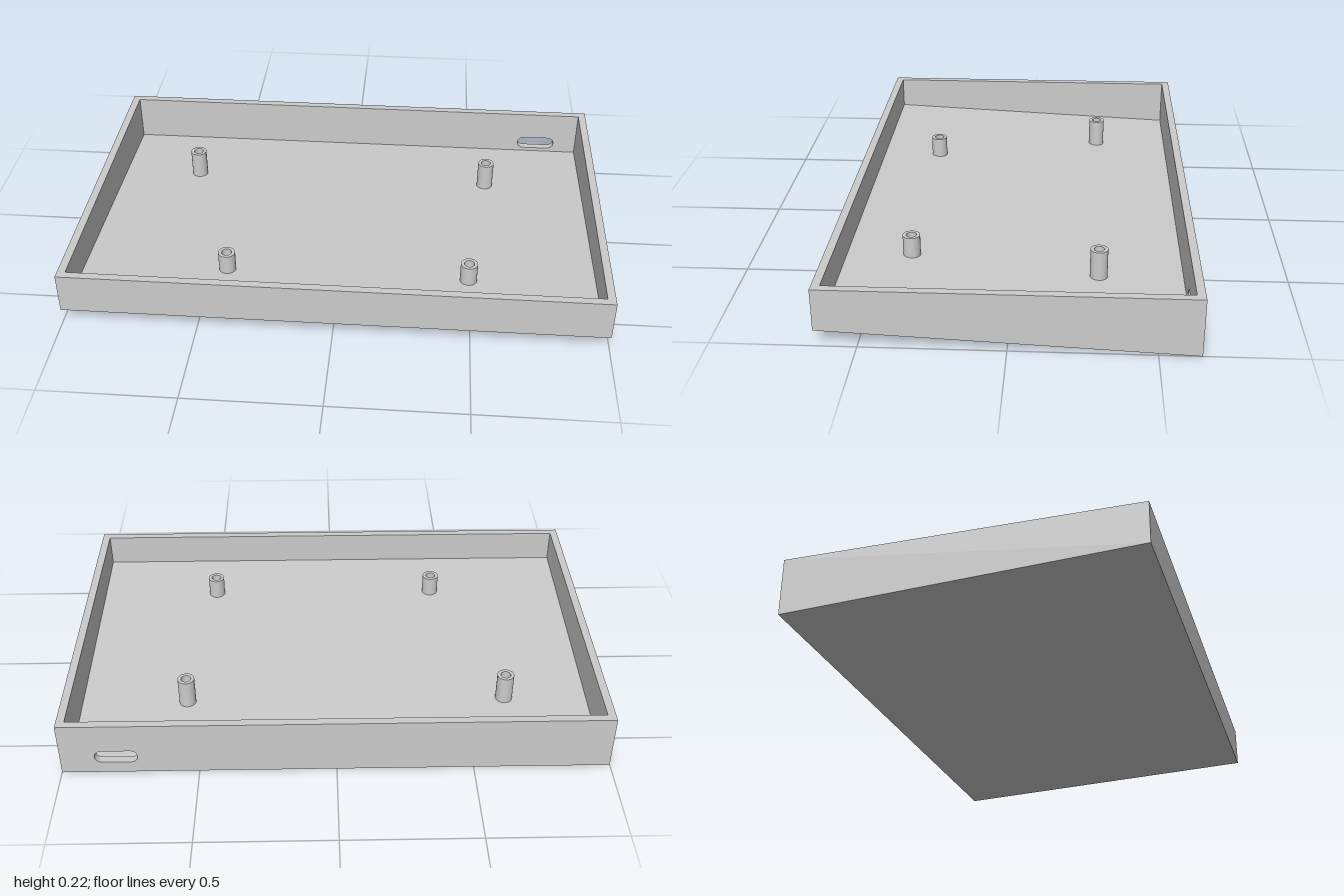
import * as THREE from 'three';

const W = 1, D = 0.645, TOP = 0.215, FRONT_RISE = 0.06, WALL = 0.03, FLOOR = 0.03;

// Height of the sloped underside at depth z
const under = (z) => FRONT_RISE * (z + D) / (2 * D);

export function createModel() {
  const group = new THREE.Group();
  const material = new THREE.MeshStandardMaterial({ color: 0xcccccc });

  const add = (name, geometry) => {
    const mesh = new THREE.Mesh(geometry, material);
    mesh.name = name;
    group.add(mesh);
    return mesh;
  };

  // Prism along x whose bottom follows the sloped underside
  const slopedPrism = (name, x0, x1, z0, z1, topAt) => {
    const shape = new THREE.Shape([
      new THREE.Vector2(-z1, under(z1)),
      new THREE.Vector2(-z0, under(z0)),
      new THREE.Vector2(-z0, topAt(z0)),
      new THREE.Vector2(-z1, topAt(z1)),
    ]);
    const geometry = new THREE.ExtrudeGeometry(shape, { depth: x1 - x0, bevelEnabled: false });
    geometry.rotateY(Math.PI / 2).translate(x0, 0, 0);
    return add(name, geometry);
  };

  const rim = () => TOP;
  const floorTop = (z) => under(z) + FLOOR;
  const inX = W - WALL, inZ = D - WALL;

  // Tray floor and plain walls
  slopedPrism('floor', -inX, inX, -inZ, inZ, floorTop);
  slopedPrism('rightWall', -W, -inX, -D, D, rim);
  slopedPrism('leftWall', inX, W, -D, D, rim);
  slopedPrism('frontWall', -inX, inX, inZ, D, rim);

  // Back wall with a rounded cable slot
  const wall = new THREE.Shape([
    new THREE.Vector2(-inX, 0),
    new THREE.Vector2(inX, 0),
    new THREE.Vector2(inX, TOP),
    new THREE.Vector2(-inX, TOP),
  ]);
  const slotX = 0.797, slotY = 0.073, slotR = 0.026, slotHalf = 0.052;
  const slot = new THREE.Path();
  slot.absarc(slotX + slotHalf, slotY, slotR, -Math.PI / 2, Math.PI / 2, false);
  slot.absarc(slotX - slotHalf, slotY, slotR, Math.PI / 2, Math.PI * 1.5, false);
  slot.closePath();
  wall.holes.push(slot);
  const back = new THREE.ExtrudeGeometry(wall, { depth: WALL, bevelEnabled: false, curveSegments: 16 });
  back.translate(0, 0, -D);
  const p = back.attributes.position;
  for (let i = 0; i < p.count; i++) {
    if (p.getY(i) < 1e-6) p.setY(i, under(p.getZ(i)));
  }
  add('backWall', back);

  // Hollow screw posts, all ending at one level
  const postTop = 0.157, outer = 0.032, inner = 0.019;
  const posts = [[-0.652, -0.306], [0.567, -0.306], [-0.422, 0.38], [0.492, 0.38]];
  for (const [x, z] of posts) {
    const ring = new THREE.Shape().absarc(0, 0, outer, 0, Math.PI * 2, false);
    ring.holes.push(new THREE.Path().absarc(0, 0, inner, 0, Math.PI * 2, true));
    const base = floorTop(z) - 0.01;
    const geometry = new THREE.ExtrudeGeometry(ring, {
      depth: postTop - base, bevelEnabled: false, curveSegments: 16,
    });
    geometry.rotateX(-Math.PI / 2);
    add('screwPost', geometry).position.set(x, base, z);
  }

  return group;
}
